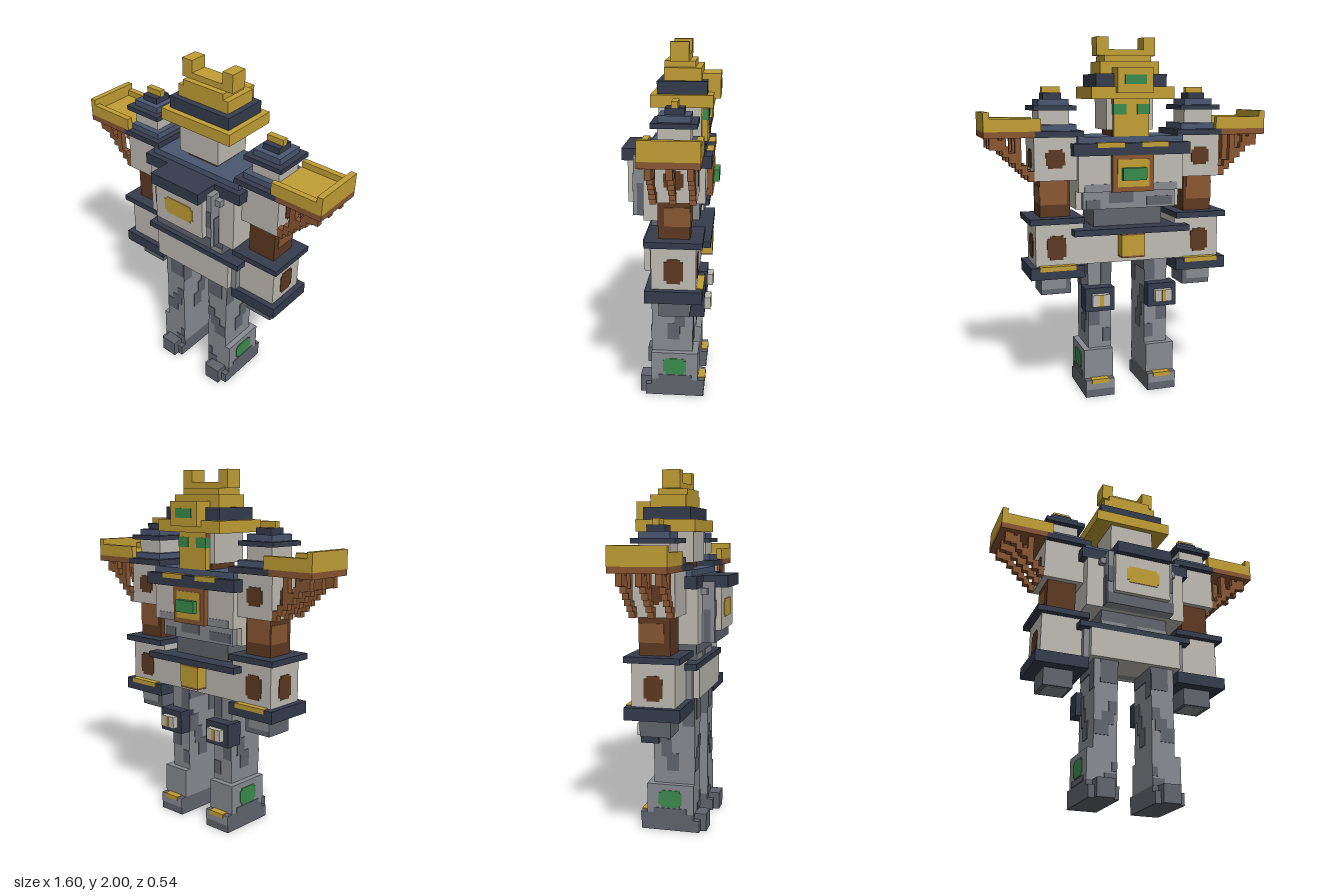
import * as THREE from 'three';

const mat = (name, color) => {
  const m = new THREE.MeshStandardMaterial({ color });
  m.name = name;
  return m;
};

export function createModel() {
  const gold = mat('gold', 0xc29f35), navy = mat('navy', 0x363c4e), slate = mat('slate', 0x4b5872);
  const white = mat('plaster', 0xbebbb3), grey = mat('grey', 0x888b91), dark = mat('dark grey', 0x62656e);
  const brown = mat('dark wood', 0x5e3921), wood = mat('light wood', 0x8a5733), green = mat('green', 0x3a8c4e);
  const model = new THREE.Group();
  model.name = 'castleGuardian';
  const T = 0.004; // thickness of painted plates

  // Box between corner coordinates
  const box = (parent, name, m, x0, x1, y0, y1, z0, z1) => {
    const g = new THREE.BoxGeometry(Math.abs(x1 - x0), y1 - y0, z1 - z0);
    g.translate((x0 + x1) / 2, (y0 + y1) / 2, (z0 + z1) / 2);
    const mesh = new THREE.Mesh(g, m);
    mesh.name = name;
    parent.add(mesh);
    return mesh;
  };
  const group = (name) => {
    const g = new THREE.Group();
    g.name = name;
    model.add(g);
    return g;
  };

  // Hips and waist
  const hips = group('hips');
  box(hips, 'hipBlock', white, -0.267, 0.267, 0.767, 0.933, -0.167, 0.133);
  box(hips, 'hipCore', grey, -0.3, 0.3, 0.767, 0.933, -0.133, 0.1);
  box(hips, 'belt', navy, -0.333, 0.333, 0.933, 0.967, -0.233, 0.133);
  box(hips, 'buckle', gold, -0.067, 0.067, 0.81, 0.925, -0.233, -0.167);
  box(hips, 'buckleTop', wood, -0.067, 0.067, 0.925, 0.933, -0.235, -0.167);
  box(hips, 'buckleBase', wood, -0.067, 0.067, 0.8, 0.81, -0.233, -0.167);
  box(hips, 'waist', dark, -0.2, 0.2, 0.967, 1.1, -0.13, 0.1);
  box(hips, 'waistPatch', grey, -0.2, -0.05, 0.967, 1.0, 0.1, 0.1 + T);
  box(hips, 'waistPatch', grey, 0.02, 0.2, 0.967, 1.0, 0.1, 0.1 + T);

  // Chest and its back pack panel
  const chest = group('chest');
  box(chest, 'chestBlock', white, -0.3, 0.3, 1.167, 1.367, -0.2, 0.133);
  box(chest, 'chestLower', white, -0.3, 0.3, 1.067, 1.167, -0.133, 0.133);
  box(chest, 'belly', grey, -0.267, 0.267, 1.067, 1.167, -0.167, -0.133);
  for (const [x0, x1, y0, y1] of [[-0.25, -0.1, 1.08, 1.13], [-0.02, 0.12, 1.1, 1.16], [0.17, 0.25, 1.07, 1.12]])
    box(chest, 'bellyPatch', dark, x0, x1, y0, y1, -0.167 - T, -0.167);
  box(chest, 'bellyRim', grey, -0.267, 0.267, 1.167, 1.21, -0.2 - T, -0.2);
  box(chest, 'packBase', grey, -0.2, 0.2, 1.067, 1.4, 0.133, 0.2);
  box(chest, 'packPatch', dark, -0.2, 0.2, 1.067, 1.133, 0.2, 0.2 + T);
  for (const s of [-1, 1]) {
    box(chest, 'packPatch', dark, s * 0.167, s * 0.2, 1.2, 1.3, 0.2, 0.2 + T);
    box(chest, 'packPatch', dark, s * 0.2, s * (0.2 + T), 1.067, 1.25, 0.14, 0.18);
    box(chest, 'packSlab', grey, s * 0.2, s * 0.233, 1.33, 1.367, 0.133, 0.167);
    box(chest, 'collarTrim', gold, s * 0.05, s * 0.2, 1.41, 1.433 + T, -0.233 - T, -0.2);
  }
  box(chest, 'packPanel', white, -0.167, 0.167, 1.133, 1.367, 0.2, 0.233);
  box(chest, 'packPlate', gold, -0.1, 0.1, 1.215, 1.285, 0.233, 0.233 + T);
  box(chest, 'packPlate', gold, -0.085, 0.085, 1.2, 1.3, 0.233, 0.233 + T);
  box(chest, 'packCap', navy, -0.167, 0.167, 1.367, 1.433, 0.133, 0.267);
  box(chest, 'collar', navy, -0.333, 0.333, 1.367, 1.433, -0.233, 0.133);
  box(chest, 'collarTop', slate, -0.3, 0.3, 1.433, 1.467, -0.2, 0.1);
  box(chest, 'gemFrame', wood, -0.117, 0.117, 1.167, 1.367, -0.233, -0.2);
  box(chest, 'gemPlate', gold, -0.09, 0.09, 1.195, 1.345, -0.233 - T, -0.233);
  box(chest, 'gem', green, -0.067, 0.067, 1.233, 1.3, -0.267, -0.233);

  // Head with tiered roof
  const head = group('head');
  box(head, 'neck', brown, -0.1, 0.1, 1.467, 1.5, -0.15, 0.033);
  box(head, 'skull', white, -0.133, 0.133, 1.5, 1.667, -0.167, 0.067);
  box(head, 'face', gold, -0.1, 0.1, 1.467, 1.667, -0.2, -0.167);
  box(head, 'roofBrim', gold, -0.233, 0.233, 1.667, 1.733, -0.233, 0.1);
  box(head, 'roofBand', navy, -0.2, 0.2, 1.733, 1.8, -0.2, 0.067);
  box(head, 'roofTier', gold, -0.167, 0.167, 1.8, 1.867, -0.167, 0.033);
  box(head, 'roofRidge', gold, -0.133, 0.133, 1.867, 1.9, -0.133, 0.033);
  box(head, 'roofRidgeTop', gold, -0.133, 0.133, 1.9, 1.933, -0.1, 0);
  box(head, 'crest', gold, -0.1, 0.1, 1.7, 1.833, -0.267, -0.16);
  box(head, 'crestGem', green, -0.06, 0.06, 1.745, 1.795, -0.267 - T, -0.267);
  for (const s of [-1, 1]) {
    box(head, 'horn', gold, s * 0.1, s * 0.167, 1.9, 2.0, -0.1, 0);
    box(head, 'eye', green, s * 0.03, s * (0.1 + T), 1.585, 1.64, -0.2 - T, -0.17);
    box(head, 'brow', wood, s * 0.1, s * (0.1 + T), 1.64, 1.667, -0.2, -0.17);
  }

  for (const s of [-1, 1]) {
    const side = s > 0 ? 'left' : 'right';
    const sb = (g, name, m, x0, x1, ...r) => box(g, name, m, s * x0, s * x1, ...r);

    // Leg
    const leg = group(side + 'Leg');
    sb(leg, 'thigh', grey, 0.1, 0.233, 0.1, 0.767, -0.133, 0.1);
    sb(leg, 'shin', grey, 0.1, 0.267, 0.1, 0.267, -0.167, 0.1);
    sb(leg, 'foot', dark, 0.1, 0.267, 0, 0.1, -0.2, 0.1);
    sb(leg, 'footFront', dark, 0.1, 0.267, 0, 0.067, 0.1, 0.133);
    sb(leg, 'toe', dark, 0.133, 0.233, 0, 0.1, 0.1, 0.167);
    sb(leg, 'heelPatch', grey, 0.1, 0.267, 0.045, 0.1, -0.2 - T, -0.2);
    sb(leg, 'heelTrim', gold, 0.133, 0.233, 0.08, 0.1 + T, -0.2 - 2 * T, -0.167);
    sb(leg, 'shinPlate', green, 0.267, 0.267 + T, 0.15, 0.22, -0.1, 0.033);
    sb(leg, 'shinPlate', green, 0.267, 0.267 + T, 0.135, 0.233, -0.085, 0.02);
    sb(leg, 'kneeGuard', navy, 0.1, 0.267, 0.5, 0.633, -0.2, -0.1);
    sb(leg, 'kneeBadge', white, 0.133, 0.233, 0.533, 0.6, -0.233, -0.2);
    sb(leg, 'kneeStripe', gold, 0.172, 0.194, 0.533, 0.6, -0.233 - T, -0.233);
    // Camouflage on front and back: x0, x1, y0, y1
    for (const [x0, x1, y0, y1] of [[0.1, 0.2, 0.633, 0.767], [0.15, 0.233, 0.34, 0.42], [0.12, 0.19, 0.4, 0.47], [0.1, 0.15, 0.46, 0.53]])
      sb(leg, 'camoFront', dark, x0, x1, y0, y1, 0.1, 0.1 + T);
    sb(leg, 'camoFront', dark, 0.1, 0.17, 0.1, 0.14, 0.1, 0.1 + T);
    sb(leg, 'camoFront', dark, 0.1, 0.13, 0.15, 0.2, 0.1, 0.1 + T);
    for (const [x0, x1, y0, y1] of [[0.1, 0.16, 0.64, 0.767], [0.17, 0.233, 0.4, 0.48], [0.1, 0.15, 0.3, 0.38]])
      sb(leg, 'camoBack', dark, x0, x1, y0, y1, -0.133 - T, -0.133);
    // Camouflage on both sides: y0, y1, z0, z1
    for (const [y0, y1, z0, z1] of [[0.6, 0.7, 0.03, 0.1], [0.5, 0.6, -0.133, -0.06], [0.42, 0.52, -0.09, -0.03], [0.34, 0.44, -0.06, 0.01], [0.7, 0.767, -0.133, 0.1]]) {
      sb(leg, 'camoOuter', dark, 0.233, 0.233 + T, y0, y1, z0, z1);
      sb(leg, 'camoInner', dark, 0.1 - T, 0.1, y0, y1, z0, z1);
    }
    sb(leg, 'camoShin', dark, 0.267, 0.267 + T, 0.1, 0.13, -0.13, 0.06);

    // Lower arm tower
    const arm = group(side + 'Arm');
    sb(arm, 'hand', dark, 0.333, 0.5, 0.6, 0.7, -0.133, 0.033);
    sb(arm, 'handPatch', grey, 0.36, 0.5, 0.63, 0.7, -0.133 - T, -0.133);
    sb(arm, 'handBase', grey, 0.35, 0.48, 0.6 - T, 0.6, -0.12, 0.02);
    sb(arm, 'towerSill', navy, 0.267, 0.567, 0.7, 0.767, -0.2, 0.1);
    sb(arm, 'sillTrim', gold, 0.317, 0.517, 0.745, 0.767 + T, -0.2 - T, -0.167);
    sb(arm, 'tower', white, 0.267, 0.533, 0.767, 1.0, -0.167, 0.067);
    sb(arm, 'towerRoof', navy, 0.267, 0.567, 1.0, 1.033, -0.2, 0.1);
    sb(arm, 'upperArm', brown, 0.333, 0.5, 1.033, 1.233, -0.133, 0.033);
    sb(arm, 'armPanel', wood, 0.5, 0.5 + T, 1.1, 1.2, -0.133, 0);
    sb(arm, 'armPanel', wood, 0.35, 0.5, 1.1, 1.233, -0.133 - T, -0.133);

    // Shoulder, with windows on shoulder and tower
    sb(arm, 'shoulder', white, 0.267, 0.533, 1.233, 1.467, -0.167, 0.067);
    for (const [y0, y1] of [[0.8, 0.933], [1.3, 1.4]])
      for (const d of [0, 0.015]) {
        sb(arm, 'sideWindow', brown, 0.533, 0.533 + T, y0 + d, y1 - d, -0.115 + 0.015 - d + 0.015, 0 - 0.015 + d);
        sb(arm, 'backWindow', brown, 0.365 - d + 0.015, 0.47 + d - 0.015, y0 + d, y1 - d, -0.167 - T, -0.167);
      }
    sb(arm, 'shoulderEave', navy, 0.267, 0.533, 1.467, 1.5, -0.2, 0.1);
    sb(arm, 'shoulderRoof', slate, 0.3, 0.5, 1.5, 1.533, -0.167, 0.067);
    sb(arm, 'turret', white, 0.333, 0.5, 1.533, 1.607, -0.133, 0.033);
    sb(arm, 'turretBrim', navy, 0.3, 0.533, 1.607, 1.633, -0.167, 0.067);
    sb(arm, 'turretRoof', slate, 0.333, 0.5, 1.633, 1.667, -0.133, 0.033);
    sb(arm, 'turretTop', navy, 0.367, 0.467, 1.667, 1.7, -0.1, 0);
    sb(arm, 'turretRidge', gold, 0.367, 0.467, 1.7, 1.733, -0.067, -0.033);

    // Balcony
    const balcony = group(side + 'Balcony');
    sb(balcony, 'balconyBase', wood, 0.533, 0.8, 1.467, 1.5, -0.2, 0.1);
    sb(balcony, 'balconyFloor', gold, 0.5, 0.8, 1.5, 1.533, -0.2, 0.1);
    sb(balcony, 'endRail', gold, 0.767, 0.8, 1.533, 1.6, -0.2, 0.1);
    sb(balcony, 'frontRail', gold, 0.5, 0.767, 1.533, 1.567, 0.067, 0.1);
    sb(balcony, 'backRail', gold, 0.5, 0.767, 1.533, 1.567, -0.2, -0.167);

    // Stepped brackets
    for (const z of [-0.167, -0.067, 0.033]) {
      for (let k = 0; k < 7; k++) {
        const x = 0.533 + k * 0.0333, y = 1.233 + k * 0.0333;
        sb(balcony, 'bracketStep', wood, x, x + 0.0333, y, Math.min(y + 0.055, 1.467), z, z + 0.033);
      }
      sb(balcony, 'bracketPost', wood, 0.6, 0.633, 1.31, 1.467, z, z + 0.033);
      sb(balcony, 'bracketPost', wood, 0.68, 0.7, 1.39, 1.467, z, z + 0.033);
      sb(balcony, 'bracketTip', wood, 0.72, 0.767, 1.405, 1.467, z, z + 0.033);
    }
  }
  return model;
}
